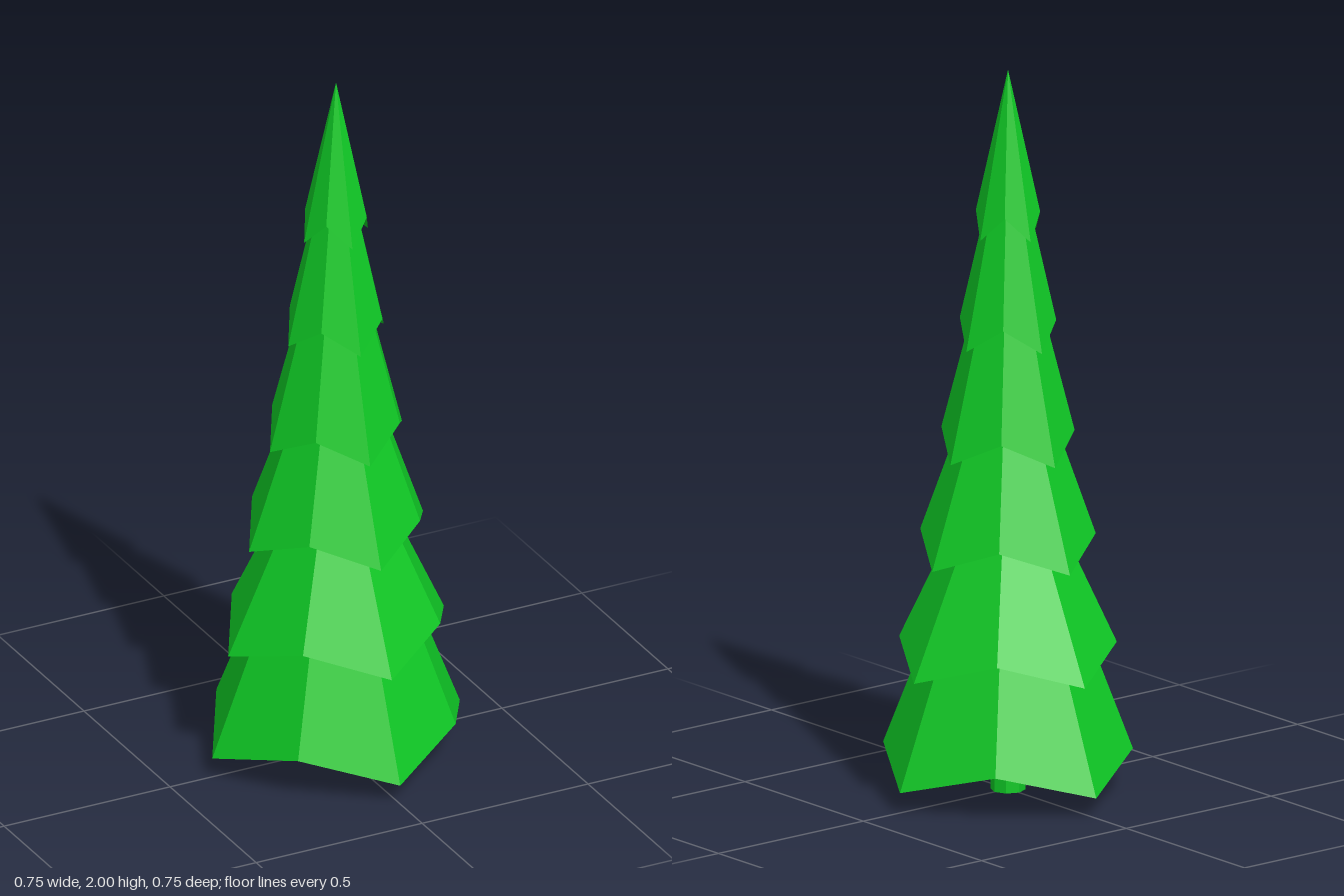
import * as THREE from 'three';

const SIDES = 8;
// Each tier of branches, bottom to top: tip radius, tip height, apex height
const TIERS = [
  [0.373, 0.055, 1.0],
  [0.325, 0.35, 1.04],
  [0.262, 0.65, 1.38],
  [0.199, 0.935, 1.7],
  [0.144, 1.24, 1.88],
  [0.096, 1.54, 2.0],
];

// Eight-sided cone whose rim zigzags: every other corner is shorter and higher,
// and whose underside is hollowed up towards the trunk
function tierGeometry(radius, tipY, apexY) {
  const geometry = new THREE.ConeGeometry(1, 1, SIDES);
  const p = geometry.attributes.position;
  for (let i = 0; i < p.count; i++) {
    const x = p.getX(i), y = p.getY(i), z = p.getZ(i);
    if (y > 0) {
      p.setXYZ(i, 0, apexY, 0);
    } else if (Math.hypot(x, z) < 0.01) {
      p.setXYZ(i, 0, tipY + 0.085, 0);
    } else {
      const raised = Math.abs(x) > 0.1 && Math.abs(z) > 0.1;
      const r = radius * (raised ? 0.9 : 1);
      p.setXYZ(i, x * r, tipY + (raised ? 0.068 : 0), z * r);
    }
  }
  const flat = geometry.toNonIndexed();
  flat.computeVertexNormals();
  return flat;
}

export function createModel() {
  const tree = new THREE.Group();
  tree.name = 'firTree';
  const green = new THREE.MeshStandardMaterial({ color: 0x0fc825, flatShading: true });

  // Trunk
  const trunk = new THREE.Mesh(new THREE.CylinderGeometry(0.047, 0.047, 0.2, SIDES), green);
  trunk.name = 'trunk';
  trunk.position.y = 0.1;
  tree.add(trunk);

  // Overlapping branch tiers
  TIERS.forEach((tier, i) => {
    const mesh = new THREE.Mesh(tierGeometry(...tier), green);
    mesh.name = `branchTier${i + 1}`;
    tree.add(mesh);
  });
  return tree;
}
